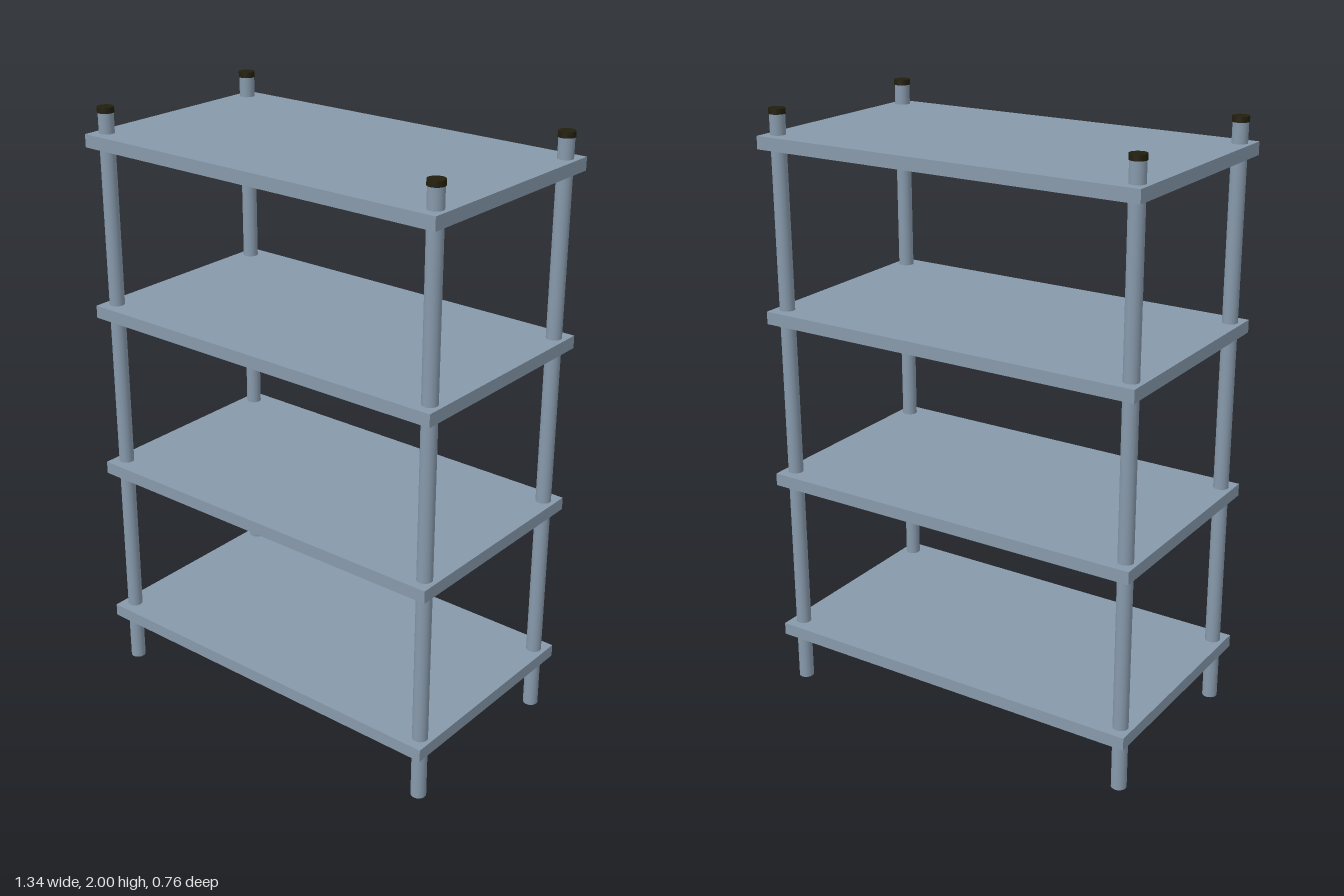
import * as THREE from 'three';

export function createModel() {
  const model = new THREE.Group();
  model.name = 'shelfUnit';

  const steel = new THREE.MeshStandardMaterial({ color: 0x8799ab });
  steel.name = 'blue grey steel';
  const black = new THREE.MeshStandardMaterial({ color: 0x221f0e });
  black.name = 'black plastic';

  const add = (name, geometry, material, x, y, z) => {
    const mesh = new THREE.Mesh(geometry, material);
    mesh.name = name;
    mesh.position.set(x, y, z);
    model.add(mesh);
  };

  // Four evenly spaced flat shelves
  const shelf = new THREE.BoxGeometry(1.34, 0.042, 0.76);
  for (let i = 0; i < 4; i++) {
    add(`shelf${i + 1}`, shelf, steel, 0, 0.195 + i * 0.567, 0);
  }

  // Round corner posts, each with a thin end cap on top
  const capHeight = 0.018;
  const postHeight = 2 - capHeight;
  const post = new THREE.CylinderGeometry(0.025, 0.025, postHeight, 32);
  const cap = new THREE.CylinderGeometry(0.027, 0.027, capHeight, 32);
  for (const [side, x] of [['Left', 0.63], ['Right', -0.63]]) {
    for (const [end, z] of [['front', 0.325], ['back', -0.325]]) {
      add(`${end}${side}Post`, post, steel, x, postHeight / 2, z);
      add(`${end}${side}Cap`, cap, black, x, 2 - capHeight / 2, z);
    }
  }

  return model;
}
